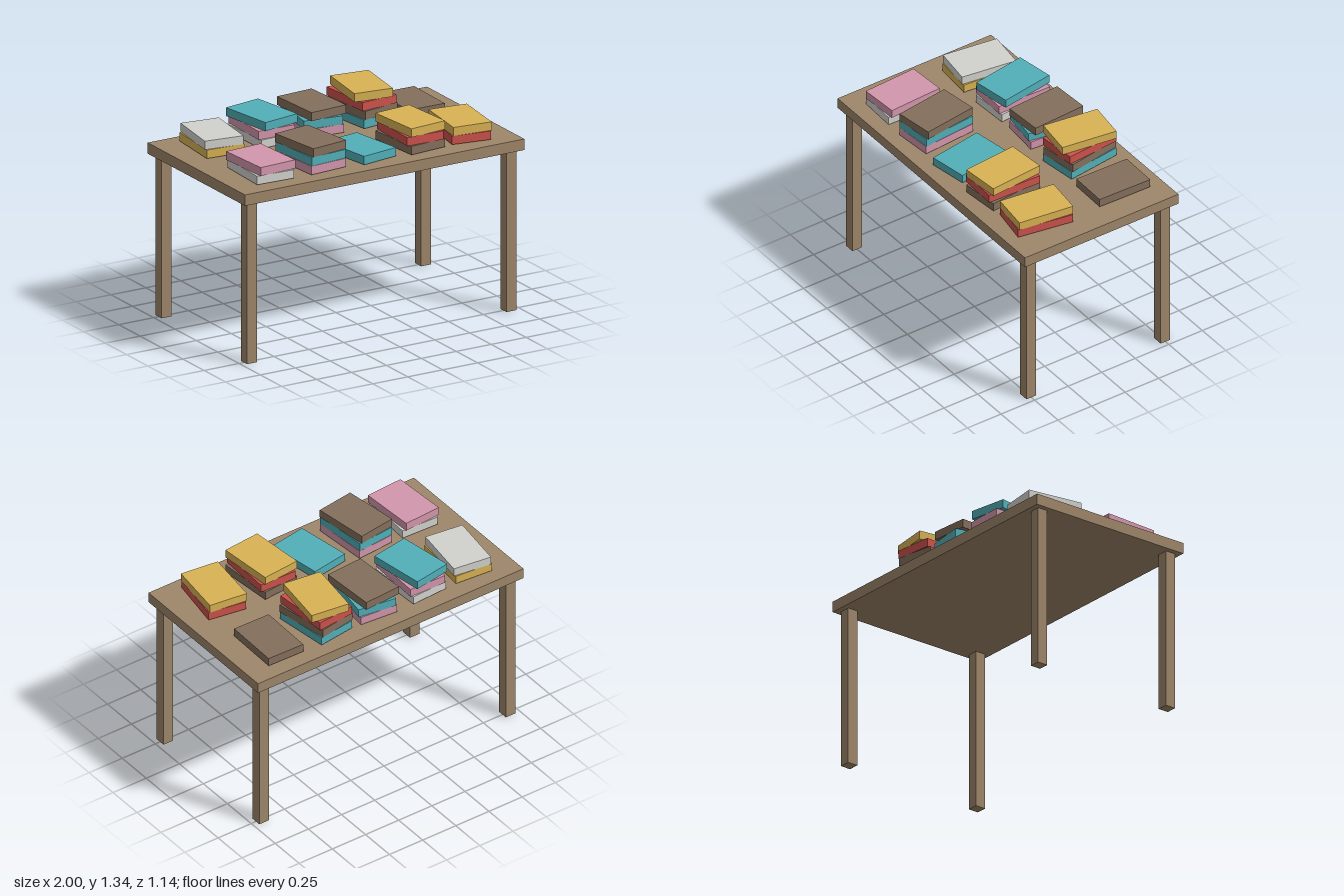
import * as THREE from 'three';

const COLORS = {
  wood: 0x9e866a, yellow: 0xd9b354, red: 0xcd524c, teal: 0x52afb8,
  pink: 0xd396ac, brown: 0x846f5c, white: 0xd2d3ce,
};
const MATERIALS = {};
for (const [name, color] of Object.entries(COLORS)) {
  MATERIALS[name] = new THREE.MeshStandardMaterial({ color, flatShading: true });
}

function box(name, material, size, position) {
  const mesh = new THREE.Mesh(new THREE.BoxGeometry(...size), MATERIALS[material]);
  mesh.name = name;
  mesh.position.set(...position);
  return mesh;
}

// Stacks from -x to +x; each book is [colour, turn], bottom to top
const BACK_ROW = [
  [['yellow', -0.08], ['white', -0.135]],
  [['white', 0.05], ['pink', -0.03], ['teal', 0.16]],
  [['pink', -0.08], ['teal', -0.15], ['brown', 0.06]],
  [['teal', 0.13], ['brown', 0.17], ['red', 0.09], ['yellow', -0.135]],
  [['brown', -0.02]],
];
const FRONT_ROW = [
  [['white', -0.04], ['pink', 0.06]],
  [['pink', 0.08], ['teal', 0.095], ['brown', 0.14]],
  [['teal', 0.16]],
  [['brown', 0.09], ['red', -0.03], ['yellow', 0.09]],
  [['red', -0.165], ['yellow', -0.125]],
];

function createBookStack(books, x, z) {
  const stack = new THREE.Group();
  stack.name = 'bookStack';
  stack.position.set(x, 1.118, z);
  books.forEach(([color, turn], level) => {
    const book = box('book', color, [0.257, 0.055, 0.371], [0, 0.0275 + level * 0.0568, 0]);
    book.rotation.y = turn;
    stack.add(book);
  });
  return stack;
}

export function createModel() {
  const model = new THREE.Group();
  model.name = 'bookTable';

  // Table
  model.add(box('tableTop', 'wood', [2, 0.071, 1.143], [0, 1.0755, 0]));
  for (const sx of [-1, 1]) {
    for (const sz of [-1, 1]) {
      model.add(box('tableLeg', 'wood', [0.071, 1.04, 0.071], [sx * 0.929, 0.52, sz * 0.5]));
    }
  }

  // Two rows of book stacks
  for (const [row, z] of [[BACK_ROW, -0.286], [FRONT_ROW, 0.286]]) {
    row.forEach((books, i) => model.add(createBookStack(books, (i - 2) * 0.357, z)));
  }
  return model;
}
